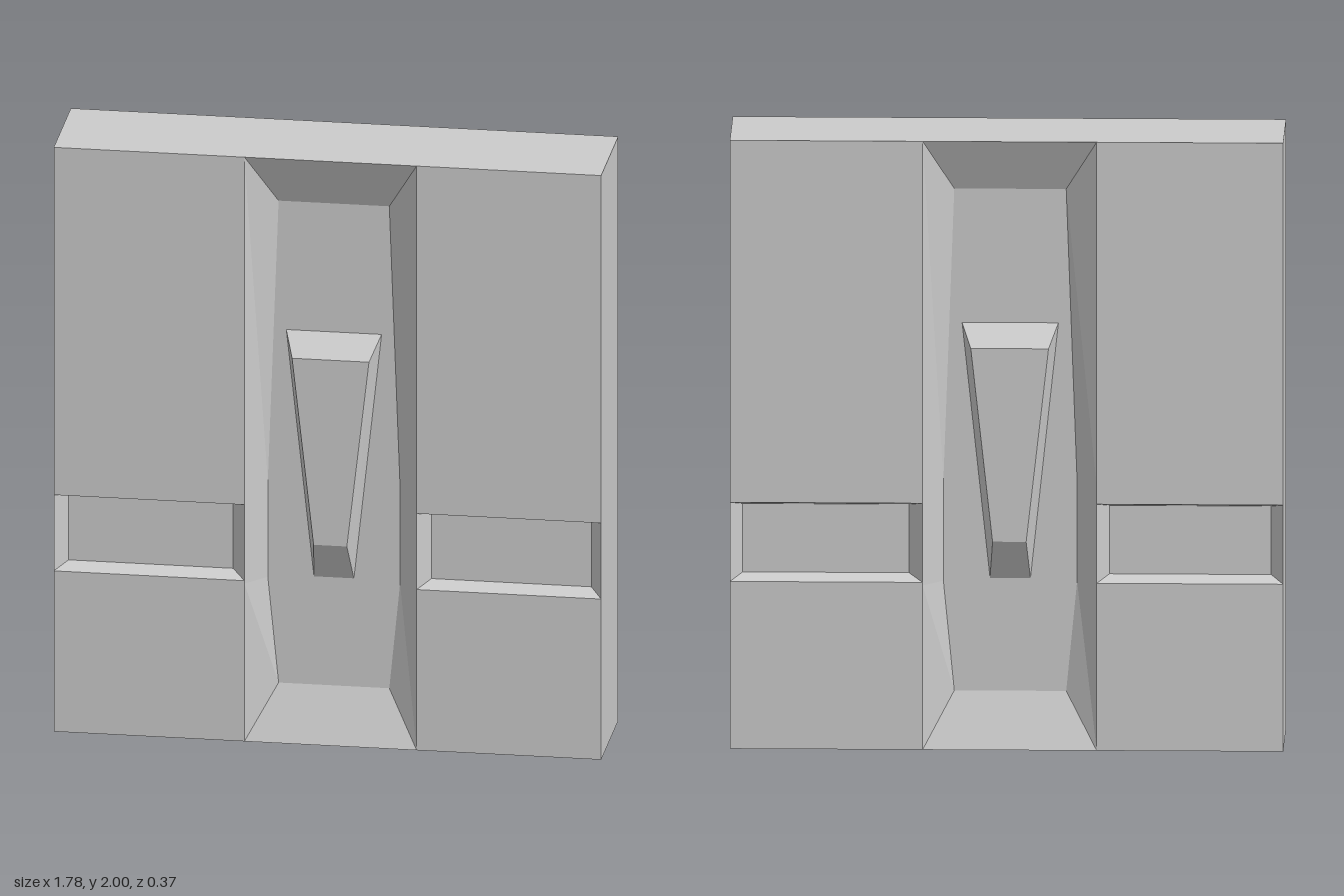
import * as THREE from 'three';

const W = 0.89, H = 2, Z = 0.185;   // half width, height, half thickness
const FLOOR = Z - 0.074;            // floor of the central channel
const SLOT = Z - 0.055;             // floor of the side slots
const material = new THREE.MeshStandardMaterial({ color: 0xcccccc, flatShading: true });

// Counter-clockwise rectangle outline
const rect = (x0, y0, x1, y1) => [[x0, y0], [x1, y0], [x1, y1], [x0, y1]];

function addMesh(group, name, geometry) {
  const mesh = new THREE.Mesh(geometry, material);
  mesh.name = name;
  group.add(mesh);
}

// Band of faces joining one outline at depth za to another at depth zb
function band(a, za, b, zb) {
  const pos = [];
  a.forEach((p, i) => {
    const j = (i + 1) % a.length;
    const A = [...p, za], B = [...a[j], za], C = [...b[j], zb], D = [...b[i], zb];
    pos.push(...A, ...B, ...C, ...A, ...C, ...D);
  });
  const geometry = new THREE.BufferGeometry();
  geometry.setAttribute('position', new THREE.Float32BufferAttribute(pos, 3));
  geometry.computeVertexNormals();
  return geometry;
}

// Flat face filling an outline, optionally with a hole
function flat(outline, z, hole) {
  const points = (list) => list.map(([x, y]) => new THREE.Vector2(x, y));
  const shape = new THREE.Shape(points(outline));
  if (hole) shape.holes.push(new THREE.Path(points(hole)));
  return new THREE.ShapeGeometry(shape).translate(0, 0, z);
}

function createFace(name) {
  const face = new THREE.Group();
  face.name = name;

  // Flat panels above and below a bevelled slot, on each side of the channel
  const sides = [
    ['right', -W, -0.27, -0.85, -0.315],
    ['left', 0.29, W, 0.33, 0.85],
  ];
  for (const [side, x0, x1, fx0, fx1] of sides) {
    const slotRim = rect(x0, 0.55, x1, 0.81);
    const slotFloor = rect(fx0, 0.57, fx1, 0.795);
    addMesh(face, side + 'LowerPanel', flat(rect(x0, 0, x1, 0.55), Z));
    addMesh(face, side + 'UpperPanel', flat(rect(x0, 0.81, x1, H), Z));
    addMesh(face, side + 'SlotWalls', band(slotRim, Z, slotFloor, SLOT));
    addMesh(face, side + 'SlotFloor', flat(slotFloor, SLOT));
  }

  // Central channel with sloping walls and a floor that widens low down
  const rim = [[-0.27, 0], [0.29, 0], [0.29, 0.54], [0.29, 0.87],
    [0.29, H], [-0.27, H], [-0.27, 0.87], [-0.27, 0.54]];
  const floor = [[-0.17, 0.18], [0.19, 0.18], [0.225, 0.54], [0.225, 0.87],
    [0.19, 1.83], [-0.17, 1.83], [-0.205, 0.87], [-0.205, 0.54]];

  // Raised tapering wedge standing in the channel
  const wedgeBase = [[-0.055, 0.55], [0.075, 0.55], [0.165, 1.39], [-0.145, 1.39]];
  const wedgeTop = [[-0.045, 0.685], [0.063, 0.685], [0.135, 1.32], [-0.115, 1.32]];

  addMesh(face, 'channelWalls', band(rim, Z, floor, FLOOR));
  addMesh(face, 'channelFloor', flat(floor, FLOOR, wedgeBase));
  addMesh(face, 'wedgeSides', band(wedgeBase, FLOOR, wedgeTop, Z));
  addMesh(face, 'wedgeTop', flat(wedgeTop, Z));
  return face;
}

export function createModel() {
  const model = new THREE.Group();
  model.name = 'carvedPanel';

  // Outer edge of the slab
  const outline = rect(-W, 0, W, H);
  addMesh(model, 'slabEdges', band(outline, -Z, outline, Z));

  // Same relief on both sides, the back turned half way round
  const back = createFace('backFace');
  back.rotation.y = Math.PI;
  model.add(createFace('frontFace'), back);
  return model;
}
